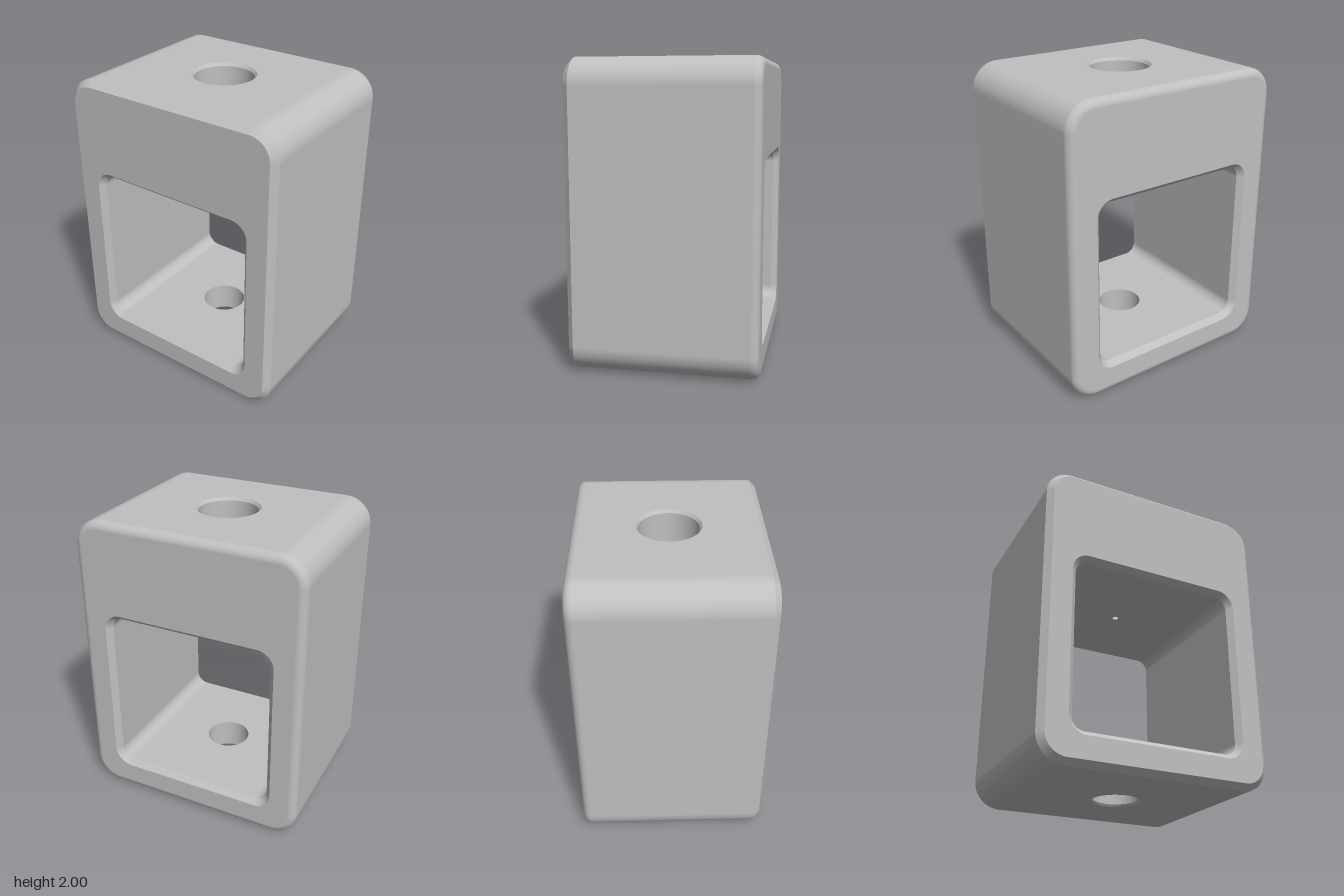
import * as THREE from 'three';
import { mergeGeometries } from 'three/addons/utils/BufferGeometryUtils.js';

const N = 12; // segments per rounded corner
const BODY = { hz: 0.78, y0: 0, y1: 2, r: 0.18 };
const WINDOW = { hz: 0.5625, y0: 0.22, y1: 1.345, r: 0.08 };
const END = 0.61, BEVEL = 0.04, FILLET = 0.055, LIP = 0.035;
const HOLE_SEGMENTS = 64;

// Rounded rectangle in the z-y plane, shrunk by d, with outward normals
function ring({ hz, y0, y1, r }, d) {
  const pts = [], cz = hz - r, cy = (y1 - y0) / 2 - r, my = (y0 + y1) / 2;
  [[1, 1], [-1, 1], [-1, -1], [1, -1]].forEach(([sz, sy], corner) => {
    for (let i = 0; i <= N; i++) {
      const a = (corner + i / N) * Math.PI / 2, nz = Math.cos(a), ny = Math.sin(a);
      pts.push({ z: sz * cz + nz * (r - d), y: my + sy * cy + ny * (r - d), nz, ny });
    }
  });
  return pts;
}

// Strip between two stations { x, d, nx, nr }; open leaves out the flat top and bottom
function strip(rect, a, b, open = false) {
  const pos = [], nor = [], A = ring(rect, a.d), B = ring(rect, b.d);
  const vertex = (s, p) => ({
    p: new THREE.Vector3(s.x, p.y, p.z),
    n: new THREE.Vector3(s.nx, s.nr * p.ny, s.nr * p.nz),
  });
  const tri = (u, v, w) => {
    const face = v.p.clone().sub(u.p).cross(w.p.clone().sub(u.p));
    const order = face.dot(u.n.clone().add(v.n).add(w.n)) < 0 ? [u, w, v] : [u, v, w];
    for (const { p, n } of order) { pos.push(...p); nor.push(...n); }
  };
  for (let i = 0; i < A.length; i++) {
    if (open && (i === N || i === 3 * N + 2)) continue;
    const j = (i + 1) % A.length;
    const q = [vertex(a, A[i]), vertex(a, A[j]), vertex(b, B[j]), vertex(b, B[i])];
    tri(q[0], q[1], q[2]);
    tri(q[0], q[2], q[3]);
  }
  const g = new THREE.BufferGeometry();
  g.setAttribute('position', new THREE.Float32BufferAttribute(pos, 3));
  g.setAttribute('normal', new THREE.Float32BufferAttribute(nor, 3));
  return g;
}

const plain = (g) => {
  const out = g.index ? g.toNonIndexed() : g;
  out.deleteAttribute('uv');
  return out;
};

// Horizontal panel with a round hole, facing up (1) or down (-1)
function panel(x0, x1, hz, y, facing, radius) {
  const s = new THREE.Shape([[x0, -hz], [x1, -hz], [x1, hz], [x0, hz]].map((p) => new THREE.Vector2(...p)));
  s.holes.push(new THREE.Path().absarc(0, 0, radius, 0, Math.PI * 2, true));
  return plain(new THREE.ShapeGeometry(s, HOLE_SEGMENTS / 2).rotateX(-facing * Math.PI / 2).translate(0, y, 0));
}

// End face with the window cut out, facing +x (1) or -x (-1)
function endFace(side, inset) {
  const outline = (rect, d) => ring(rect, d).map((p) => new THREE.Vector2(p.z, p.y));
  const s = new THREE.Shape(outline(BODY, inset));
  s.holes.push(new THREE.Path(outline(WINDOW, -LIP)));
  return plain(new THREE.ShapeGeometry(s).rotateY(side * Math.PI / 2).translate(side * END, 0, 0));
}

// Inward-facing bore through [radius, y] points listed from top to bottom
function bore(profile) {
  return mergeGeometries(profile.slice(1).map((p, i) => plain(new THREE.LatheGeometry(
    [new THREE.Vector2(...profile[i]), new THREE.Vector2(...p)], HOLE_SEGMENTS))));
}

export function createModel() {
  const group = new THREE.Group();
  const grey = new THREE.MeshStandardMaterial({ color: 0xc0c0c0 });
  grey.name = 'grey';
  const add = (name, parts) => {
    const mesh = new THREE.Mesh(mergeGeometries(parts), grey);
    mesh.name = name;
    group.add(mesh);
  };
  const k = Math.SQRT1_2, x0 = -END + BEVEL, x1 = END - FILLET;

  // Outer walls: bevelled on one end, rounded on the other
  const walls = [
    strip(BODY, { x: -END, d: BEVEL, nx: -k, nr: k }, { x: x0, d: 0, nx: -k, nr: k }),
    strip(BODY, { x: x0, d: 0, nx: 0, nr: 1 }, { x: x1, d: 0, nx: 0, nr: 1 }, true),
  ];
  const round = (t) => {
    const s = Math.sin(t * Math.PI / 2), c = Math.cos(t * Math.PI / 2);
    return { x: x1 + FILLET * s, d: FILLET * (1 - c), nx: s, nr: c };
  };
  for (let i = 0; i < 8; i++) walls.push(strip(BODY, round(i / 8), round((i + 1) / 8)));
  add('outerWalls', walls);

  const flat = BODY.hz - BODY.r;
  add('topPanel', [panel(x0, x1, flat, BODY.y1, 1, 0.21)]);
  add('bottomPanel', [panel(x0, x1, flat, 0, -1, 0.16)]);
  add('roundedEndFace', [endFace(1, FILLET)]);
  add('bevelledEndFace', [endFace(-1, BEVEL)]);

  // Window tunnel with a bevelled lip at each end
  const wx = END - BEVEL, tunnel = [
    strip(WINDOW, { x: -wx, d: 0, nx: 0, nr: -1 }, { x: wx, d: 0, nx: 0, nr: -1 }, true),
  ];
  for (const s of [-1, 1]) {
    tunnel.push(strip(WINDOW, { x: s * END, d: -LIP, nx: s * k, nr: -k }, { x: s * wx, d: 0, nx: s * k, nr: -k }));
  }
  const inner = WINDOW.hz - WINDOW.r;
  tunnel.push(panel(-wx, wx, inner, WINDOW.y1, -1, 0.02), panel(-wx, wx, inner, WINDOW.y0, 1, 0.15));
  add('windowTunnel', tunnel);

  // Top bore ending in a cone, and the smaller hole through the floor
  add('topBore', [bore([[0.21, 2], [0.195, 1.98], [0.195, 1.5], [0.02, WINDOW.y1]])]);
  add('floorHole', [bore([[0.15, WINDOW.y0], [0.15, 0.015], [0.16, 0]])]);
  return group;
}
